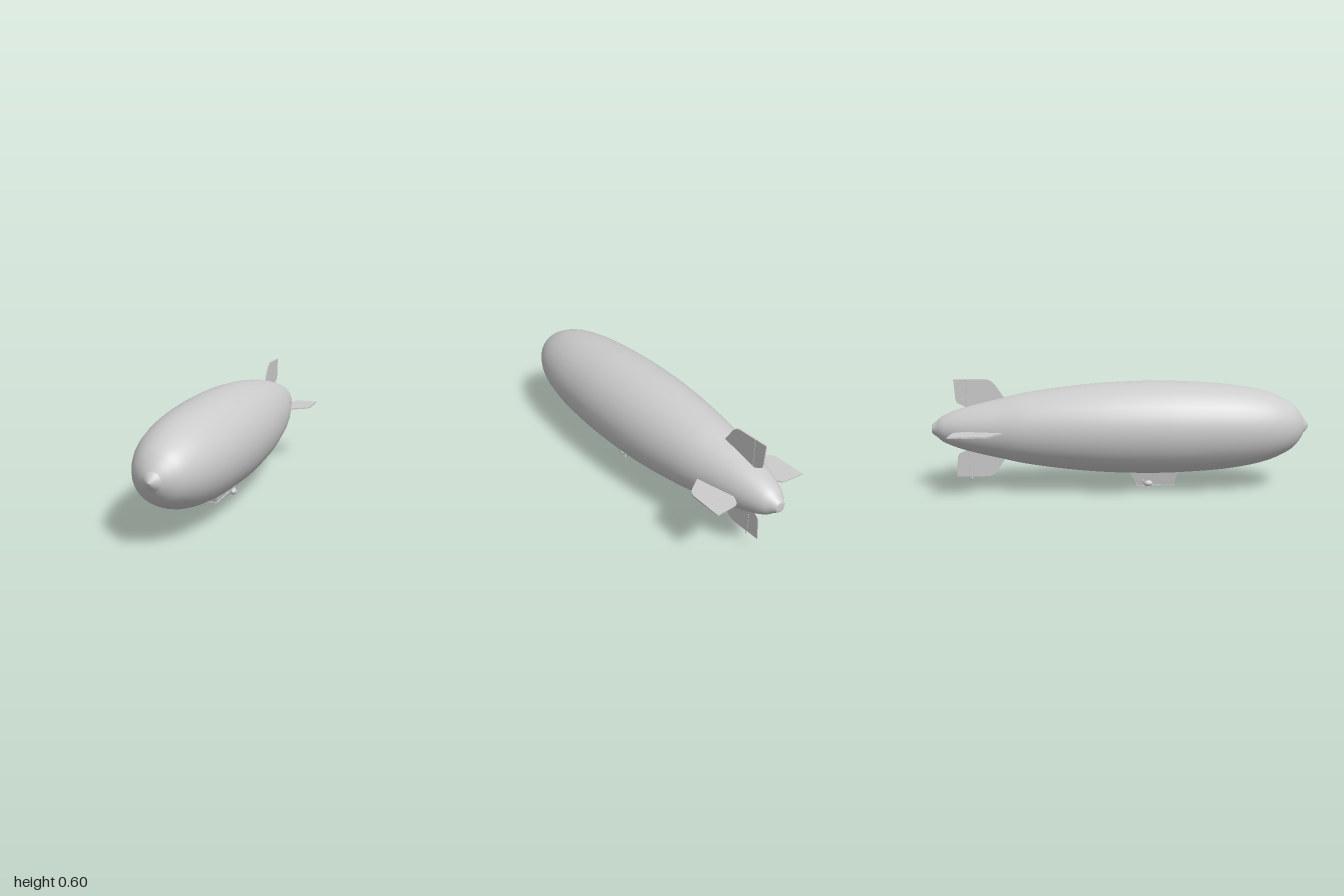
import * as THREE from 'three';

const AXIS_Y = 0.336;
const mat = new THREE.MeshStandardMaterial({ color: 0xcccccc, side: THREE.DoubleSide });
const flatMat = new THREE.MeshStandardMaterial({ color: 0xcccccc, flatShading: true, side: THREE.DoubleSide });

function add(parent, name, geometry, x = 0, y = 0, z = 0, material = mat) {
  const mesh = new THREE.Mesh(geometry, material);
  mesh.name = name;
  mesh.position.set(x, y, z);
  parent.add(mesh);
  return mesh;
}

// Round bar between two points
function bar(parent, name, a, b, r0, r1 = r0) {
  const p = new THREE.Vector3(...a), q = new THREE.Vector3(...b);
  const d = q.clone().sub(p);
  const mesh = add(parent, name, new THREE.CylinderGeometry(r1, r0, d.length(), 12));
  mesh.position.copy(p).add(q).multiplyScalar(0.5);
  mesh.quaternion.setFromUnitVectors(new THREE.Vector3(0, 1, 0), d.normalize());
  return mesh;
}

// Lathe along z from [radius, z] pairs running tail to nose
function latheZ(points, sides) {
  return new THREE.LatheGeometry(points, sides).rotateX(Math.PI / 2);
}
const vec = (list) => list.map(([a, b]) => new THREE.Vector2(a, b));

// Flat plate drawn in (z, span), standing along +y
function plate(shape, thickness) {
  return new THREE.ExtrudeGeometry(shape, { depth: thickness, bevelEnabled: false, curveSegments: 6 })
    .translate(0, 0, -thickness / 2).rotateY(-Math.PI / 2);
}

function makeFin() {
  const fin = new THREE.Group();
  const fixed = new THREE.Shape();
  fixed.moveTo(-0.60, 0.10);
  fixed.lineTo(-0.62, 0.158);
  fixed.lineTo(-0.665, 0.225);
  fixed.quadraticCurveTo(-0.685, 0.257, -0.72, 0.259);
  fixed.lineTo(-0.813, 0.26);
  fixed.lineTo(-0.813, 0.08);
  add(fin, 'fixedFin', plate(fixed, 0.008));
  const moving = new THREE.Shape();
  moving.moveTo(-0.817, 0.112);
  moving.lineTo(-0.817, 0.26);
  moving.lineTo(-0.882, 0.26);
  moving.lineTo(-0.875, 0.16);
  moving.quadraticCurveTo(-0.872, 0.135, -0.855, 0.13);
  add(fin, 'controlSurface', plate(moving, 0.006));
  bar(fin, 'hinge', [0, 0.1, -0.815], [0, 0.257, -0.815], 0.004);
  return fin;
}

function makeEngine() {
  const engine = new THREE.Group();
  engine.name = 'engine';
  add(engine, 'nacelle', new THREE.SphereGeometry(0.016, 20, 14).scale(1, 1, 1.5));
  add(engine, 'propellerHub', new THREE.SphereGeometry(0.005, 12, 8), 0, 0, -0.025);
  for (let i = 0; i < 3; i++) {
    const blade = add(engine, 'propellerBlade',
      new THREE.BoxGeometry(0.005, 0.03, 0.002).translate(0, 0.015, 0), 0, 0, -0.025);
    blade.rotation.z = Math.PI / 3 + (i * 2 * Math.PI) / 3;
  }
  return engine;
}

export function createModel() {
  const model = new THREE.Group();
  model.name = 'airship';

  // Envelope
  const profile = new THREE.SplineCurve(vec([
    [0.027, -0.997], [0.043, -0.975], [0.076, -0.93], [0.116, -0.82], [0.161, -0.634], [0.19, -0.5],
    [0.22, -0.286], [0.239, -0.07], [0.246, 0.17], [0.241, 0.355], [0.225, 0.57], [0.19, 0.757],
    [0.135, 0.885], [0.085, 0.94], [0.035, 0.973],
  ])).getPoints(64);
  add(model, 'envelope', latheZ(profile, 32), 0, AXIS_Y);
  add(model, 'noseCap', latheZ(vec([[0.046, 0.965], [0.036, 0.976], [0.024, 0.985], [0.012, 0.994], [0, 1]]), 32), 0, AXIS_Y);
  add(model, 'tailCap', latheZ(vec([[0, -1], [0.018, -1], [0.025, -0.999], [0.028, -0.994]]), 32), 0, AXIS_Y);

  // Four tail fins in a cross
  ['topFin', 'leftFin', 'bottomFin', 'rightFin'].forEach((name, i) => {
    const fin = makeFin();
    fin.name = name;
    fin.position.y = AXIS_Y;
    fin.rotation.z = (-i * Math.PI) / 2;
    model.add(fin);
  });

  // Tail bumper under the bottom fin
  bar(model, 'tailBumperPost', [0, 0.085, -0.805], [0, 0.066, -0.805], 0.003);
  add(model, 'tailBumper', new THREE.SphereGeometry(0.006, 12, 8), 0, 0.066, -0.805);

  // Gondola, tapering downwards
  const gondola = new THREE.Group();
  gondola.name = 'gondola';
  model.add(gondola);
  const cabin = new THREE.BoxGeometry(1, 1, 1);
  const p = cabin.attributes.position;
  for (let i = 0; i < p.count; i++) {
    const top = p.getY(i) > 0, front = p.getZ(i) > 0;
    p.setXYZ(i, Math.sign(p.getX(i)) * (top ? 0.039 : 0.023), top ? 0.11 : 0.022,
      front ? (top ? 0.298 : 0.272) : (top ? 0.025 : 0.078));
  }
  add(gondola, 'cabin', cabin, 0, 0, 0, flatMat);
  add(gondola, 'floorPlate', new THREE.BoxGeometry(0.054, 0.005, 0.205), 0, 0.0205, 0.175);

  // Landing wheel
  bar(gondola, 'wheelPost', [0, 0.02, 0.14], [0, 0.008, 0.14], 0.003);
  add(gondola, 'wheel', new THREE.CylinderGeometry(0.008, 0.008, 0.004, 20).rotateZ(Math.PI / 2), 0, 0.008, 0.14);

  // Engines on outriggers, with door posts on both sides
  for (const s of [1, -1]) {
    const engine = makeEngine();
    engine.position.set(s * 0.066, 0.043, 0.132);
    gondola.add(engine);
    bar(gondola, 'outrigger', [s * 0.02, 0.031, 0.132], [s * 0.066, 0.031, 0.132], 0.003);
    for (const z of [0.215, 0.248])
      bar(gondola, 'doorPost', [s * 0.0235, 0.026, z], [s * 0.0325, 0.075, z], 0.0012);
  }

  // Air duct from the left engine up into the envelope
  bar(gondola, 'ductLower', [0.066, 0.045, 0.125], [0.066, 0.078, 0.112], 0.004);
  bar(gondola, 'ductUpper', [0.066, 0.075, 0.113], [0.066, 0.115, 0.098], 0.005);

  return model;
}
